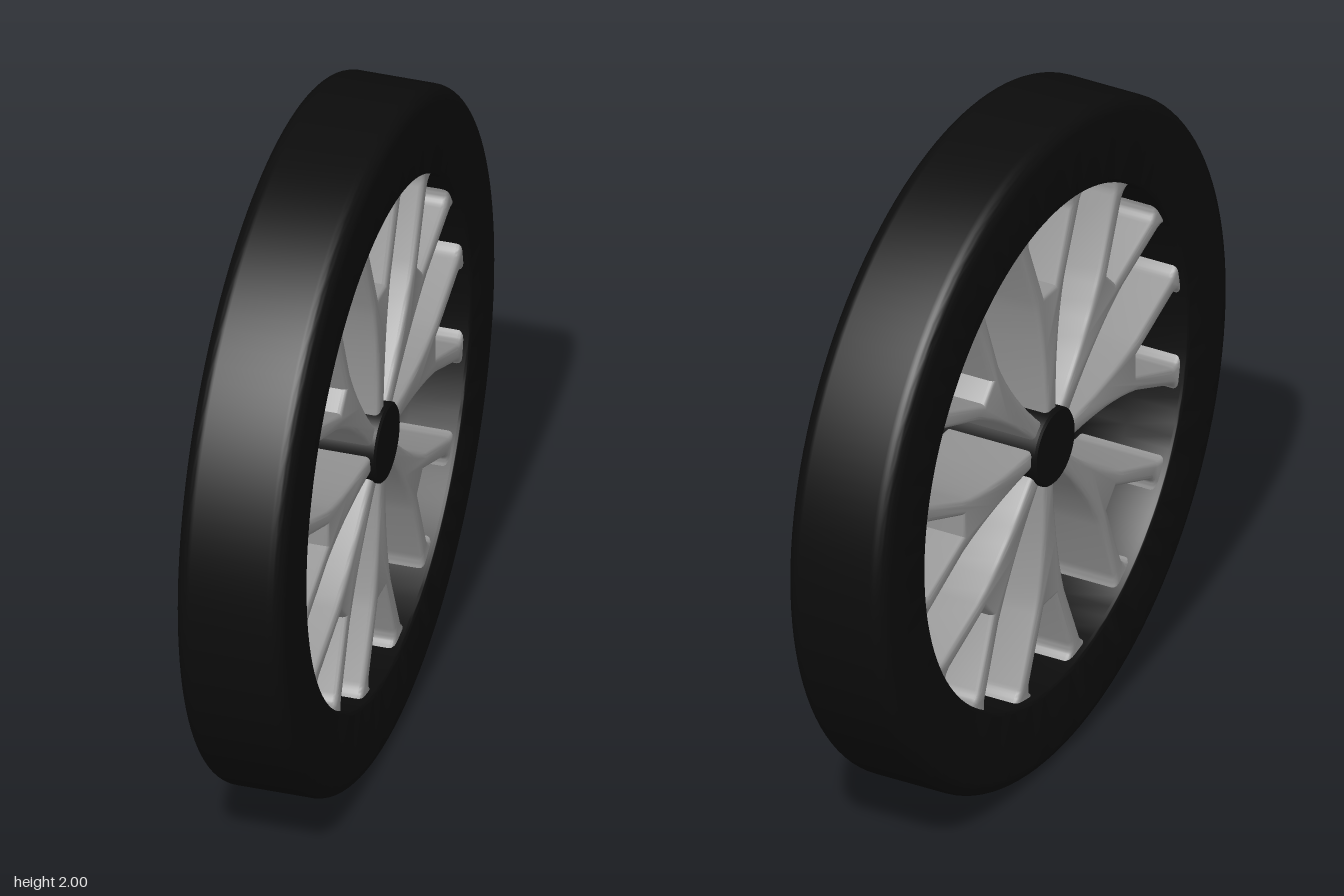
import * as THREE from 'three';
import { toCreasedNormals } from 'three/addons/utils/BufferGeometryUtils.js';

const SPOKES = 8;
const HALF_WIDTH = 0.155;

// Tyre: rounded rectangular section revolved about the axle
function tyreGeometry() {
  const inner = 0.752, outer = 1, w = HALF_WIDTH, ro = 0.045, ri = 0.015;
  const p = new THREE.Path();
  p.moveTo(inner, 0);
  p.lineTo(inner, -w + ri);
  p.absarc(inner + ri, -w + ri, ri, Math.PI, Math.PI * 1.5);
  p.lineTo(outer - ro, -w);
  p.absarc(outer - ro, -w + ro, ro, -Math.PI / 2, 0);
  p.lineTo(outer, w - ro);
  p.absarc(outer - ro, w - ro, ro, 0, Math.PI / 2);
  p.lineTo(inner + ri, w);
  p.absarc(inner + ri, w - ri, ri, Math.PI / 2, Math.PI);
  p.lineTo(inner, 0);
  const geo = toCreasedNormals(new THREE.LatheGeometry(p.getPoints(6), 128), 0.6);
  return geo.rotateZ(-Math.PI / 2);
}

// Forked spoke: slim curved stem that splits into two prongs with flared feet
function spokeGeometry() {
  const lean = -0.01; // small sideways offset at the root
  const s = new THREE.Shape();
  s.moveTo(lean + 0.028, 0.08);
  s.quadraticCurveTo(0.03, 0.33, 0.085, 0.5);
  s.lineTo(0.168, 0.69);
  s.quadraticCurveTo(0.18, 0.72, 0.215, 0.735);
  s.lineTo(0.215, 0.765);
  s.lineTo(0.1, 0.775);
  s.lineTo(0.1, 0.745);
  s.quadraticCurveTo(0.128, 0.73, 0.116, 0.695);
  s.lineTo(0.034, 0.497);
  s.lineTo(-0.034, 0.497);
  s.lineTo(-0.116, 0.695);
  s.quadraticCurveTo(-0.128, 0.73, -0.1, 0.745);
  s.lineTo(-0.1, 0.775);
  s.lineTo(-0.215, 0.765);
  s.lineTo(-0.215, 0.735);
  s.quadraticCurveTo(-0.18, 0.72, -0.168, 0.69);
  s.lineTo(-0.085, 0.5);
  s.quadraticCurveTo(-0.03, 0.33, lean - 0.028, 0.08);
  s.closePath();

  const bevel = 0.014, depth = 0.27;
  const geo = new THREE.ExtrudeGeometry(s, {
    depth: depth - 2 * bevel, curveSegments: 8, bevelEnabled: true,
    bevelSize: bevel, bevelThickness: bevel, bevelOffset: -bevel, bevelSegments: 3,
  });
  geo.translate(0, 0, bevel - depth / 2);
  return toCreasedNormals(geo, 0.6).rotateY(Math.PI / 2);
}

// Hub: plain axle cylinder with a slightly softened rim
function hubGeometry() {
  const r = 0.115, h = 0.15, c = 0.006;
  const profile = [[0, -h], [r - c, -h], [r, -h + c], [r, h - c], [r - c, h], [0, h]]
    .map(([x, y]) => new THREE.Vector2(x, y));
  const geo = toCreasedNormals(new THREE.LatheGeometry(profile, 48), 0.5);
  return geo.rotateZ(-Math.PI / 2);
}

export function createModel() {
  const rubber = new THREE.MeshStandardMaterial({ color: 0x0c0c0c });
  rubber.name = 'black rubber';
  const metal = new THREE.MeshStandardMaterial({ color: 0x949494 });
  metal.name = 'grey metal';

  const wheel = new THREE.Group();
  wheel.name = 'wheel';
  wheel.position.y = 1;

  const add = (name, geo, mat, parent = wheel) => {
    const mesh = new THREE.Mesh(geo, mat);
    mesh.name = name;
    parent.add(mesh);
    return mesh;
  };

  add('tyre', tyreGeometry(), rubber);
  add('hub', hubGeometry(), rubber);

  // Ring of spokes around the axle
  const spokes = new THREE.Group();
  spokes.name = 'spokes';
  wheel.add(spokes);
  const spoke = spokeGeometry();
  for (let i = 0; i < SPOKES; i++) {
    add('spoke', spoke, metal, spokes).rotation.x = (i / SPOKES) * Math.PI * 2;
  }

  const model = new THREE.Group();
  model.name = 'spokedWheel';
  model.add(wheel);
  return model;
}
